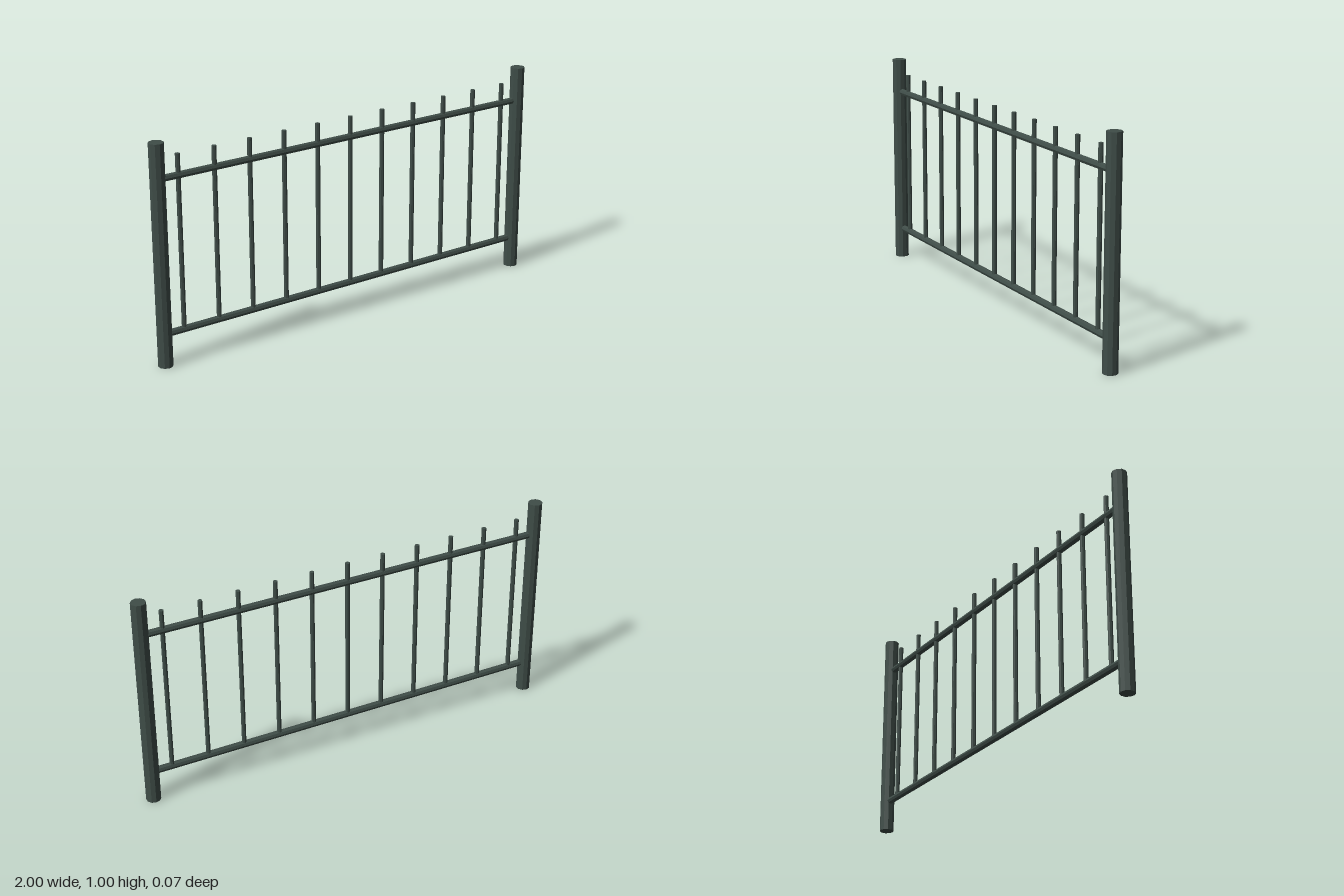
import * as THREE from 'three';

export function createModel() {
  const fence = new THREE.Group();
  fence.name = 'fencePanel';
  const paint = new THREE.MeshStandardMaterial({ color: 0x3f4d48, flatShading: true });
  paint.name = 'darkGreenPaint';

  const rod = (name, radius, length, sides, x, y) => {
    const mesh = new THREE.Mesh(new THREE.CylinderGeometry(radius, radius, length, sides), paint);
    mesh.name = name;
    mesh.position.set(x, y, 0);
    fence.add(mesh);
    return mesh;
  };

  // End posts
  const postHeight = 1.005, postX = 0.968;
  for (const side of [-1, 1]) {
    rod(side > 0 ? 'leftPost' : 'rightPost', 0.0333, postHeight, 10, side * postX, postHeight / 2);
  }

  // Horizontal rails running between the posts
  for (const [name, y] of [['lowerRail', 0.147], ['upperRail', 0.845]]) {
    rod(name, 0.016, 2 * postX, 8, 0, y).rotation.z = Math.PI / 2;
  }

  // Evenly spaced upright bars, standing on the lower rail and passing the upper one
  const barBottom = 0.147, barTop = 0.94;
  for (let i = -5; i <= 5; i++) {
    rod('bar' + (i + 6), 0.0108, barTop - barBottom, 8, i * 0.1742, (barTop + barBottom) / 2);
  }
  return fence;
}
